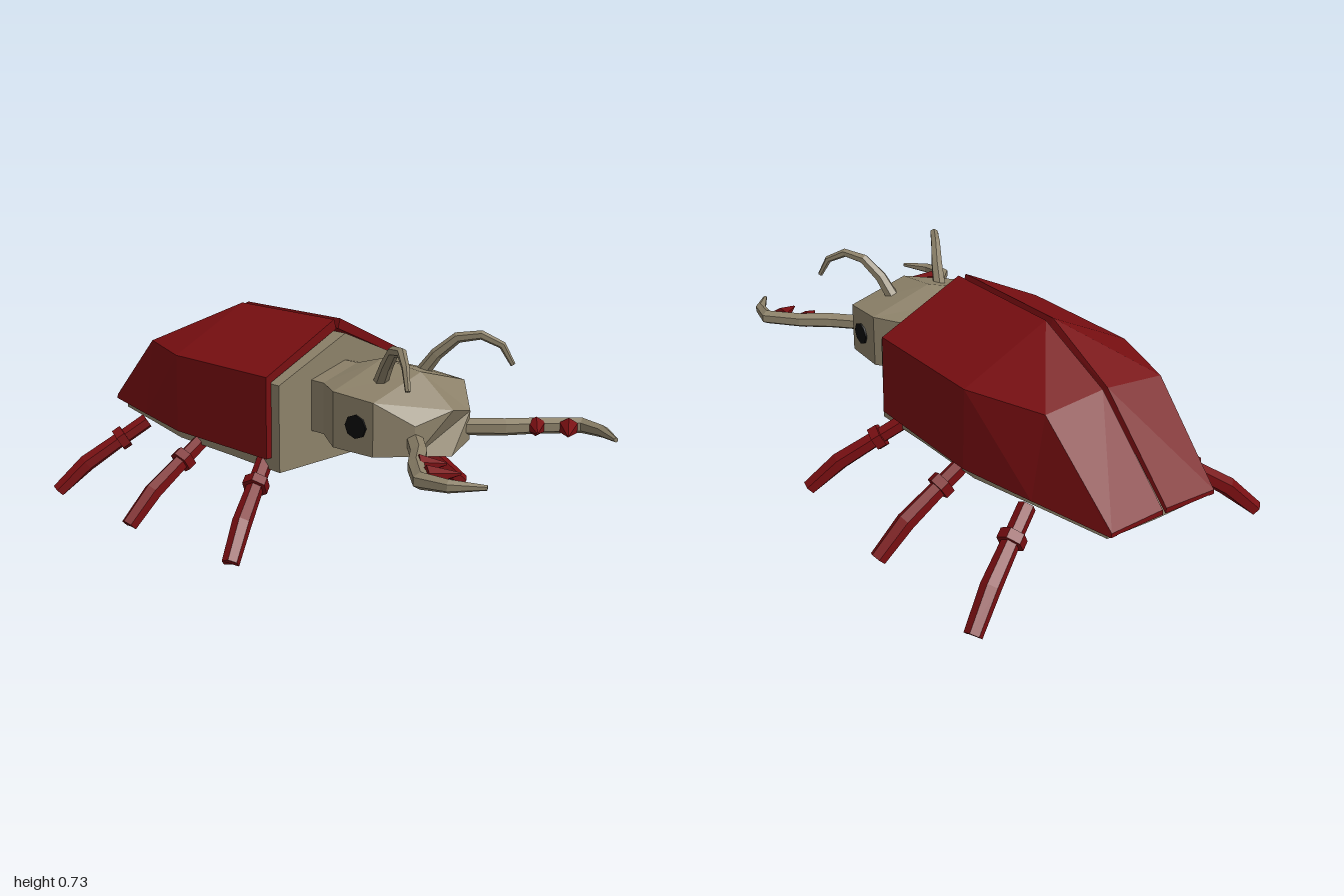
import * as THREE from 'three';

const mat = (name, color) => {
  const m = new THREE.MeshStandardMaterial({ color });
  m.name = name;
  return m;
};

// Closed faceted solid through rings of equal point count, ends capped by strips.
function loft(rings) {
  const n = rings[0].length, tris = [];
  const quad = (a, b, c, d) => tris.push([a, b, c], [a, c, d]);
  for (let k = 0; k < rings.length - 1; k++) {
    for (let i = 0; i < n; i++) {
      const j = (i + 1) % n;
      quad(rings[k][i], rings[k][j], rings[k + 1][j], rings[k + 1][i]);
    }
  }
  const cap = (r, flip) => {
    for (let i = 0; i < Math.floor(n / 2); i++) {
      const q = [r[i], r[i + 1], r[n - 2 - i], r[n - 1 - i]];
      if (flip) q.reverse();
      quad(...q);
    }
  };
  cap(rings[0], true);
  cap(rings[rings.length - 1], false);
  // Turn the faces outwards
  let volume = 0;
  for (const [a, b, c] of tris) volume += a.dot(b.clone().cross(c));
  if (volume < 0) tris.forEach((t) => t.reverse());
  const geo = new THREE.BufferGeometry().setFromPoints(tris.flat());
  geo.computeVertexNormals();
  return geo;
}

// Many-sided tapering limb along a path; radii follow the points.
function limb(points, radii, sides = 6) {
  const up = new THREE.Vector3(0, 1, 0);
  return loft(points.map((p, k) => {
    const t = points[Math.min(k + 1, points.length - 1)].clone().sub(points[Math.max(k - 1, 0)]).normalize();
    const u = new THREE.Vector3().crossVectors(up, t).normalize();
    const v = new THREE.Vector3().crossVectors(t, u);
    return Array.from({ length: sides }, (_, i) => {
      const a = (i / sides) * Math.PI * 2 + Math.PI / 2;
      const q = p.clone().addScaledVector(u, Math.cos(a) * radii[k]).addScaledVector(v, Math.sin(a) * radii[k]);
      q.y = Math.max(q.y, 0);
      return q;
    });
  }));
}

// Symmetric six-point section: top ridge, shoulders, lower edges, keel.
const section = ([z, top, sx, sy, bx, by, keel]) => [
  [0, top], [sx, sy], [bx, by], [0, keel], [-bx, by], [-sx, sy],
].map(([x, y]) => new THREE.Vector3(x, y, z));

export function createModel() {
  const tan = mat('tan', 0x8c8169);
  const red = mat('dark red', 0x780e11);
  const black = mat('black', 0x0b0b0b);
  const model = new THREE.Group();
  model.name = 'beetle';
  const add = (name, geo, material) => {
    const mesh = new THREE.Mesh(geo, material);
    mesh.name = name;
    model.add(mesh);
    return mesh;
  };

  // Abdomen with keeled underside
  add('body', loft([
    [0.10, 0.68, 0.315, 0.545, 0.315, 0.24, 0.24],
    [-0.16, 0.68, 0.31, 0.545, 0.31, 0.245, 0.18],
    [-0.45, 0.67, 0.31, 0.535, 0.31, 0.25, 0.18],
    [-0.70, 0.55, 0.21, 0.53, 0.25, 0.25, 0.21],
    [-0.96, 0.29, 0.19, 0.285, 0.19, 0.25, 0.245],
  ].map(section)), tan);

  // Head and neck
  add('head', loft([
    [0.08, 0.585, 0.165, 0.54, 0.165, 0.36, 0.33],
    [0.16, 0.585, 0.165, 0.54, 0.165, 0.36, 0.325],
    [0.28, 0.62, 0.24, 0.545, 0.24, 0.355, 0.30],
    [0.45, 0.60, 0.23, 0.535, 0.23, 0.355, 0.31],
    [0.59, 0.495, 0.14, 0.46, 0.14, 0.36, 0.34],
  ].map((s) => {
    const ring = section(s);
    // Bow the muzzle corners back
    if (s[0] > 0.5) ring.forEach((p) => { if (p.x) p.z -= 0.04; });
    return ring;
  })), tan);

  for (const s of [1, -1]) {
    const side = s > 0 ? 'left' : 'right';
    const V = (x, y, z) => new THREE.Vector3(s * x, y, z);

    // Wing case: outer surface, then inner surface back to the ridge
    const wing = (z, p) => p.map(([x, y]) => V(x, y, z));
    const full = [[0.015, 0.725], [0.335, 0.57], [0.34, 0.285], [0.315, 0.285], [0.313, 0.55], [0.005, 0.69]];
    add(side + 'WingCase', loft([
      wing(0.06, full),
      wing(-0.43, full),
      wing(-0.71, [[0.01, 0.59], [0.235, 0.57], [0.28, 0.285], [0.255, 0.285], [0.215, 0.545], [0.005, 0.56]]),
      wing(-1.0, [[0.008, 0.305], [0.21, 0.298], [0.212, 0.283], [0.19, 0.283], [0.19, 0.285], [0.005, 0.287]]),
    ]), red);

    // Eye: thin oval plate on the cheek
    const eyeGeo = new THREE.CylinderGeometry(0.04, 0.04, 0.009, 8).rotateZ(Math.PI / 2);
    const eye = add(side + 'Eye', eyeGeo, black);
    eye.scale.z = 1.1;
    eye.position.copy(V(0.236, 0.445, 0.38));
    eye.rotation.y = -s * 0.06;

    // Curved jaw
    add(side + 'Jaw', limb([
      V(0.09, 0.405, 0.5), V(0.22, 0.405, 0.635), V(0.32, 0.405, 0.71),
      V(0.415, 0.407, 0.81), V(0.398, 0.408, 0.9), V(0.335, 0.41, 0.99),
    ], [0.03, 0.03, 0.028, 0.027, 0.021, 0.008]), tan);

    // Teeth on the inner edge of the jaw
    [[0.3, 0.705, 0.233, 0.758], [0.365, 0.79, 0.277, 0.848]].forEach(([x, z, tx, tz], i) => {
      add(side + 'JawTooth' + (i + 1), limb([V(x, 0.405, z), V(tx, 0.405, tz)], [0.034, 0.004]), red);
    });

    // Bent feeler
    add(side + 'Antenna', limb([
      V(0.102, 0.56, 0.36), V(0.125, 0.635, 0.41), V(0.16, 0.695, 0.47),
      V(0.2, 0.708, 0.54), V(0.243, 0.675, 0.595), V(0.265, 0.61, 0.625),
    ], [0.025, 0.022, 0.019, 0.016, 0.013, 0.009]), tan);

    // Legs: collar position and outward angle for front, middle and back
    [['front', 0.375, 0.045, 0.5], ['middle', 0.375, -0.355, 0], ['back', 0.375, -0.74, -0.46]].forEach(([name, x, z, a]) => {
      const at = (r, y) => V(x + r * Math.cos(a), y, z + r * Math.sin(a));
      add(`${side}${name}Leg`, limb(
        [at(-0.1, 0.262), at(0, 0.2), at(0.14, 0.112), at(0.25, 0.01)], [0.03, 0.03, 0.034, 0.03]), red);
      add(`${side}${name}LegCollar`, limb([at(-0.015, 0.209), at(0.015, 0.191)], [0.046, 0.046]), red);
    });
  }
  return model;
}
